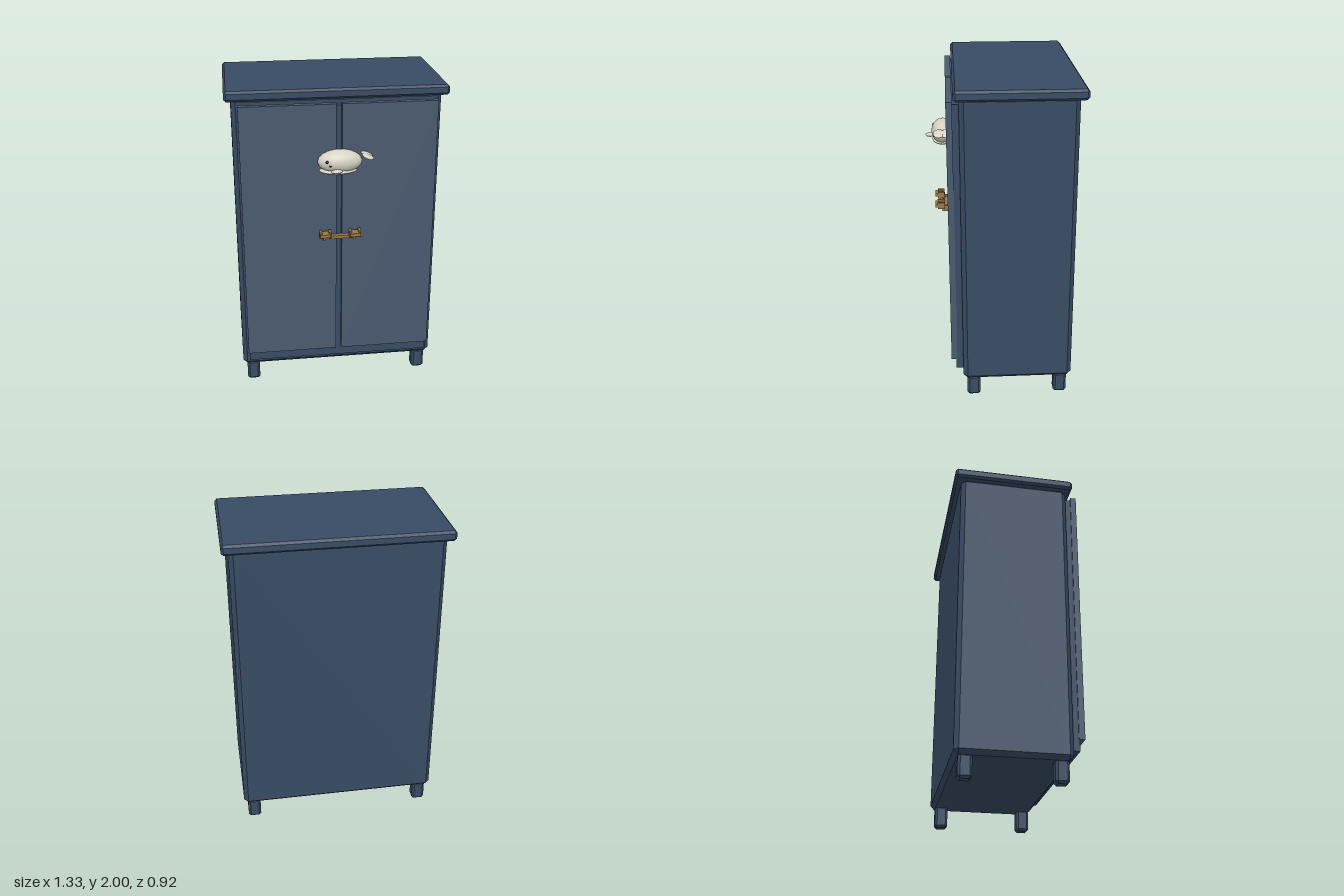
import * as THREE from 'three';
import { ConvexGeometry } from 'three/addons/geometries/ConvexGeometry.js';

const paint = (color, flatShading = false) => new THREE.MeshStandardMaterial({ color, flatShading });

// Box with every edge cut at 45 degrees
function chamferedBox(w, h, d, c) {
  const points = [];
  for (const sx of [-1, 1]) for (const sy of [-1, 1]) for (const sz of [-1, 1]) {
    const x = w / 2, y = h / 2, z = d / 2;
    points.push(
      new THREE.Vector3(sx * x, sy * (y - c), sz * (z - c)),
      new THREE.Vector3(sx * (x - c), sy * y, sz * (z - c)),
      new THREE.Vector3(sx * (x - c), sy * (y - c), sz * z));
  }
  return new ConvexGeometry(points);
}

export function createModel() {
  const model = new THREE.Group();
  model.name = 'wardrobe';
  const navy = paint(0x384b64, true);
  const slate = paint(0x4a5a70, true);
  const brass = paint(0x9a7743, true);
  const ivory = paint(0xd6d2c4);
  const dark = paint(0x22252a);

  function add(parent, name, geometry, material, x, y, z) {
    const mesh = new THREE.Mesh(geometry, material);
    mesh.name = name;
    mesh.position.set(x, y, z);
    parent.add(mesh);
    return mesh;
  }
  // Boxes are given by their lower and upper limits on each axis
  function box(parent, name, material, [x0, x1], [y0, y1], [z0, z1], chamfer = 0) {
    const w = x1 - x0, h = y1 - y0, d = z1 - z0;
    const geometry = chamfer ? chamferedBox(w, h, d, chamfer) : new THREE.BoxGeometry(w, h, d);
    return add(parent, name, geometry, material, (x0 + x1) / 2, (y0 + y1) / 2, (z0 + z1) / 2);
  }
  function ellipsoid(parent, name, material, [x, y, z], [rx, ry, rz]) {
    const geometry = new THREE.SphereGeometry(1, 32, 20).scale(rx, ry, rz);
    return add(parent, name, geometry, material, x, y, z);
  }

  // Carcass
  box(model, 'cabinetBody', navy, [-0.627, 0.627], [0.13, 1.955], [-0.422, 0.257], 0.027);
  box(model, 'cabinetTop', navy, [-0.667, 0.667], [1.937, 2], [-0.463, 0.29], 0.014);
  box(model, 'frontPanel', navy, [-0.583, 0.583], [0.195, 1.905], [0.25, 0.3]);

  // Feet
  for (const x of [-0.56, 0.56]) for (const z of [-0.355, 0.192]) {
    box(model, 'foot', navy, [x - 0.041, x + 0.041], [0, 0.14], [z - 0.041, z + 0.041], 0.014);
  }

  // Doors with a narrow gap between them
  box(model, 'leftDoor', slate, [0.017, 0.59], [0.265, 1.92], [0.294, 0.33]);
  box(model, 'rightDoor', slate, [-0.59, -0.017], [0.265, 1.92], [0.294, 0.33]);

  // Handle: a low bar with collars and a spool-shaped grip at each end
  const handle = new THREE.Group();
  handle.name = 'handle';
  model.add(handle);
  box(handle, 'handleBar', brass, [-0.1, 0.1], [1.073, 1.092], [0.325, 0.36]);
  for (const s of [-1, 1]) {
    const span = (a, b) => (s > 0 ? [a, b] : [-b, -a]);
    box(handle, 'barCollar', brass, span(0.085, 0.102), [1.066, 1.104], [0.325, 0.366]);
    box(handle, 'grip', brass, span(0.06, 0.125), [1.103, 1.123], [0.35, 0.41]);
    box(handle, 'gripFlangeInner', brass, span(0.055, 0.071), [1.093, 1.134], [0.35, 0.395]);
    box(handle, 'gripFlangeOuter', brass, span(0.112, 0.128), [1.093, 1.134], [0.35, 0.395]);
  }

  // Whale ornament, facing -x
  const whale = new THREE.Group();
  whale.name = 'whaleOrnament';
  model.add(whale);
  ellipsoid(whale, 'whaleBody', ivory, [0, 1.578, 0.352], [0.133, 0.071, 0.07]);
  ellipsoid(whale, 'whaleBelly', ivory, [-0.01, 1.521, 0.352], [0.115, 0.018, 0.065]);
  const fin = ellipsoid(whale, 'whaleFin', ivory, [-0.028, 1.541, 0.433], [0.036, 0.009, 0.028]);
  fin.rotation.y = 0.3;
  for (const z of [0.33, 0.375]) {
    const fluke = ellipsoid(whale, 'tailFluke', ivory, [0.165, 1.606, z], [0.038, 0.014, 0.036]);
    fluke.rotation.z = -0.4;
  }
  ellipsoid(whale, 'eye', dark, [-0.083, 1.592, 0.41], [0.009, 0.009, 0.008]);
  ellipsoid(whale, 'mouth', dark, [-0.064, 1.568, 0.415], [0.008, 0.004, 0.006]);

  return model;
}
